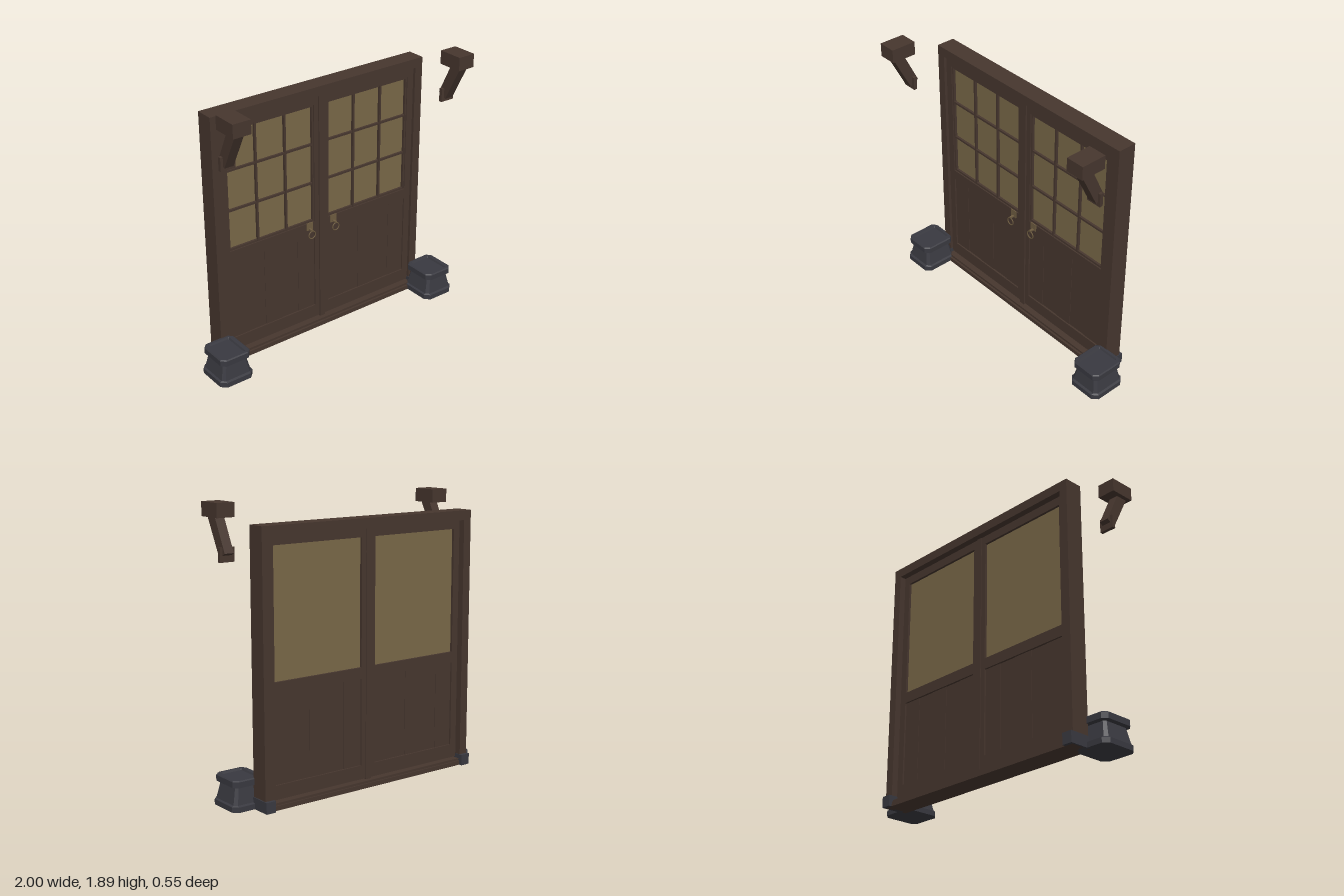
import * as THREE from 'three';

const material = (name, color) => {
  const m = new THREE.MeshStandardMaterial({ color });
  m.name = name;
  return m;
};

export function createModel() {
  const wood = material('dark wood', 0x46362e);
  const paper = material('tan panes', 0x796848);
  const stone = material('grey stone', 0x393940);
  const brass = material('aged brass', 0x6e5c40);
  const root = new THREE.Group();

  const group = (name, parent = root) => {
    const g = new THREE.Group();
    g.name = name;
    parent.add(g);
    return g;
  };
  const add = (parent, name, geometry, mat) => {
    const m = new THREE.Mesh(geometry, mat);
    m.name = name;
    parent.add(m);
    return m;
  };
  // Box given by its limits; x limits may be mirrored by s
  const box = (parent, name, mat, s, x0, x1, y0, y1, z0, z1) => {
    const m = add(parent, name, new THREE.BoxGeometry(x1 - x0, y1 - y0, z1 - z0), mat);
    m.position.set(s * (x0 + x1) / 2, (y0 + y1) / 2, (z0 + z1) / 2);
    return m;
  };

  // Skin over chamfered rectangles [y, halfX, halfZ, chamfer], closed at both ends
  const loft = (sections) => {
    const rings = sections.map(([y, a, b, c]) => [
      [a, b - c], [a - c, b], [c - a, b], [-a, b - c],
      [-a, c - b], [c - a, -b], [a - c, -b], [a, c - b],
    ].map(([x, z]) => [x, y, z]));
    const pos = [];
    const tri = (...p) => p.forEach((v) => pos.push(...v));
    for (let i = 0; i < rings.length - 1; i++) {
      for (let j = 0; j < 8; j++) {
        const k = (j + 1) % 8, lo = rings[i], hi = rings[i + 1];
        tri(lo[j], hi[j], lo[k]);
        tri(lo[k], hi[j], hi[k]);
      }
    }
    const bottom = rings[0], top = rings[rings.length - 1];
    for (let j = 1; j < 7; j++) {
      tri(bottom[0], bottom[j], bottom[j + 1]);
      tri(top[0], top[j + 1], top[j]);
    }
    const g = new THREE.BufferGeometry();
    g.setAttribute('position', new THREE.Float32BufferAttribute(pos, 3));
    g.computeVertexNormals();
    return g;
  };

  // Frame
  const frame = group('doorFrame');
  box(frame, 'lintel', wood, 1, -0.845, 0.845, 1.71, 1.775, -0.25, -0.12);
  box(frame, 'sill', wood, 1, -0.84, 0.84, 0, 0.03, -0.25, -0.085);
  box(frame, 'sillStep', wood, 1, -0.785, 0.785, 0.03, 0.045, -0.24, -0.1);
  box(frame, 'centrePost', wood, 1, -0.02, 0.02, 0.045, 1.71, -0.21, -0.13);

  for (const s of [1, -1]) {
    const side = s > 0 ? 'left' : 'right';
    box(frame, 'post', wood, s, 0.785, 0.845, 0.03, 1.71, -0.25, -0.12);

    // Door leaf: stiles and rails
    const door = group(side + 'Door');
    const zb = -0.205, zf = -0.14;
    box(door, 'outerStile', wood, s, 0.735, 0.785, 0.052, 1.71, zb, zf);
    box(door, 'innerStile', wood, s, 0.02, 0.055, 0.052, 1.71, zb, zf);
    for (const [name, y0, y1] of [['topRail', 1.65, 1.71], ['middleRail', 0.73, 0.805], ['bottomRail', 0.052, 0.145]])
      box(door, name, wood, s, 0.055, 0.735, y0, y1, zb, zf);

    // Lower planks, alternately set back for a fine joint line
    const w = 0.68 / 5;
    for (let i = 0; i < 5; i++) {
      const d = 0.003 * (i % 2);
      box(door, 'plank', wood, s, 0.055 + i * w, 0.055 + (i + 1) * w, 0.145, 0.73, -0.193 + d, -0.15 - d);
    }

    // Pane sheet with glazing bars on its front
    box(door, 'pane', paper, s, 0.055, 0.735, 0.805, 1.65, -0.188, -0.165);
    for (const x of [0.06, 0.279, 0.505, 0.73])
      box(door, 'uprightBar', wood, s, x - 0.007, x + 0.007, 0.805, 1.65, -0.165, -0.147);
    for (const y of [0.812, 1.09, 1.37, 1.643])
      box(door, 'crossBar', wood, s, 0.055, 0.735, y - 0.007, y + 0.007, -0.165, -0.149);

    // Ring handle
    const handle = group('ringHandle', door);
    box(handle, 'handlePlate', brass, s, 0.075, 0.125, 0.755, 0.81, -0.14, -0.135);
    box(handle, 'handlePin', brass, s, 0.093, 0.107, 0.757, 0.768, -0.137, -0.105);
    const ring = add(handle, 'ring', new THREE.TorusGeometry(0.027, 0.004, 6, 16), brass);
    ring.position.set(s * 0.1, 0.73, -0.109);

    // Stone pedestal with sunken top
    const pedestal = add(root, side + 'Pedestal', loft([
      [0, 0.125, 0.135, 0.035],
      [0.035, 0.125, 0.135, 0.035],
      [0.042, 0.112, 0.12, 0.02],
      [0.148, 0.088, 0.1, 0.016],
      [0.155, 0.113, 0.125, 0.03],
      [0.193, 0.113, 0.125, 0.03],
      [0.2, 0.106, 0.118, 0.028],
      [0.2, 0.078, 0.1, 0.004],
      [0.188, 0.072, 0.094, 0.004],
    ]), stone);
    pedestal.position.set(s * 0.875, 0, -0.006);

    // Stone shoe around the post foot
    box(root, side + 'PostShoe', stone, s, 0.782, 0.852, 0, 0.075, -0.272, -0.115);

    // Roof bracket: block, slanting arm and wall plate
    const bracket = group(side + 'Bracket');
    box(bracket, 'bracketBlock', wood, s, 0.81, 0.937, 1.8, 1.892, 0.097, 0.275);
    const profile = new THREE.Shape(
      [[-0.25, 1.8], [-0.122, 1.55], [-0.06, 1.585], [-0.165, 1.8]].map(([a, b]) => new THREE.Vector2(a, b)));
    const arm = add(bracket, 'bracketArm', new THREE.ExtrudeGeometry(profile, { depth: 0.066, bevelEnabled: false }), wood);
    arm.rotation.y = Math.PI / 2;
    arm.position.x = s * 0.876 - 0.033;
    box(bracket, 'bracketPlate', wood, s, 0.822, 0.927, 1.528, 1.62, 0.086, 0.11);
  }
  return root;
}
